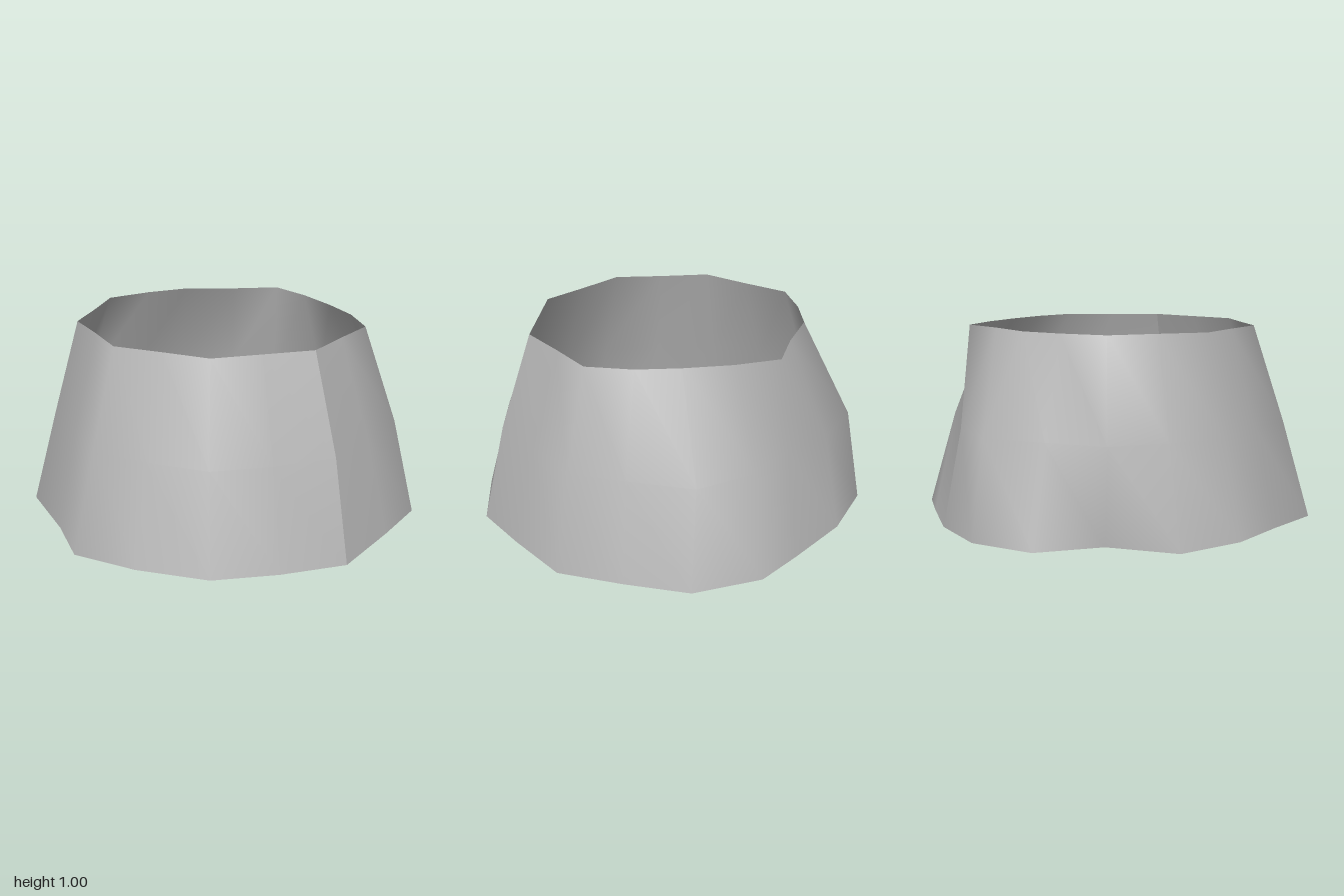
import * as THREE from 'three';

// Cross-sections as [x, z] pairs, running from the front seam round the -x side, the back and the +x side.
const bottomRing = [
  [0.33, 0.95], [-0.02, 1.0], [-0.35, 0.97], [-0.66, 0.77], [-0.91, 0.53], [-0.93, 0.2],
  [-1.0, -0.19], [-0.89, -0.5], [-0.55, -0.64], [-0.37, -0.94], [-0.03, -1.0], [0.31, -0.88],
  [0.62, -0.67], [0.84, -0.51], [0.99, -0.18], [0.94, 0.15], [0.87, 0.48], [0.62, 0.73],
];
const middleRing = [
  [0.3, 0.84], [-0.02, 0.87], [-0.32, 0.85], [-0.57, 0.66], [-0.79, 0.46], [-0.83, 0.16],
  [-0.88, -0.16], [-0.77, -0.44], [-0.62, -0.7], [-0.33, -0.81], [-0.03, -0.92], [0.26, -0.8],
  [0.46, -0.61], [0.69, -0.46], [0.87, -0.19], [0.82, 0.14], [0.77, 0.43], [0.54, 0.64],
];
const topRing = [
  [0.24, 0.69], [-0.02, 0.69], [-0.27, 0.69], [-0.46, 0.53], [-0.66, 0.37], [-0.7, 0.12],
  [-0.75, -0.13], [-0.62, -0.35], [-0.5, -0.57], [-0.27, -0.64], [-0.05, -0.67], [0.21, -0.6],
  [0.45, -0.56], [0.54, -0.34], [0.6, -0.1], [0.635, 0.12], [0.62, 0.36], [0.43, 0.52],
];
// Slightly wavy hem: heights of the bottom ring that differ from 0.02
const hem = { 0: 0, 6: 0.035, 17: 0.03 };

// Skin the rings; the first column is repeated at the end so the seam stays sharp.
function loft(rings, heightAt) {
  const n = rings[0].length;
  const points = [];
  const index = [];
  rings.forEach((ring, r) => {
    for (let i = 0; i <= n; i++) {
      const [x, z] = ring[i % n];
      points.push(x, heightAt(r, i % n), z);
    }
  });
  for (let r = 0; r < rings.length - 1; r++) {
    for (let i = 0; i < n; i++) {
      const a = r * (n + 1) + i, b = a + 1;
      const ta = a + n + 1, tb = ta + 1;
      index.push(b, a, tb, a, ta, tb);
    }
  }
  const geometry = new THREE.BufferGeometry();
  geometry.setAttribute('position', new THREE.Float32BufferAttribute(points, 3));
  geometry.setIndex(index);
  geometry.computeVertexNormals();
  return geometry;
}

export function createModel() {
  const group = new THREE.Group();
  group.name = 'openFlaredBand';

  const grey = new THREE.MeshStandardMaterial({ color: 0xb8b8b8, side: THREE.DoubleSide });
  grey.name = 'plain grey';

  // Thin open shell, flared toward the hem and folded inward at the back
  const shell = new THREE.Mesh(
    loft([bottomRing, middleRing, topRing], (r, i) => [hem[i] ?? 0.02, 0.51, 1][r]),
    grey,
  );
  shell.name = 'flaredShell';
  group.add(shell);
  return group;
}
